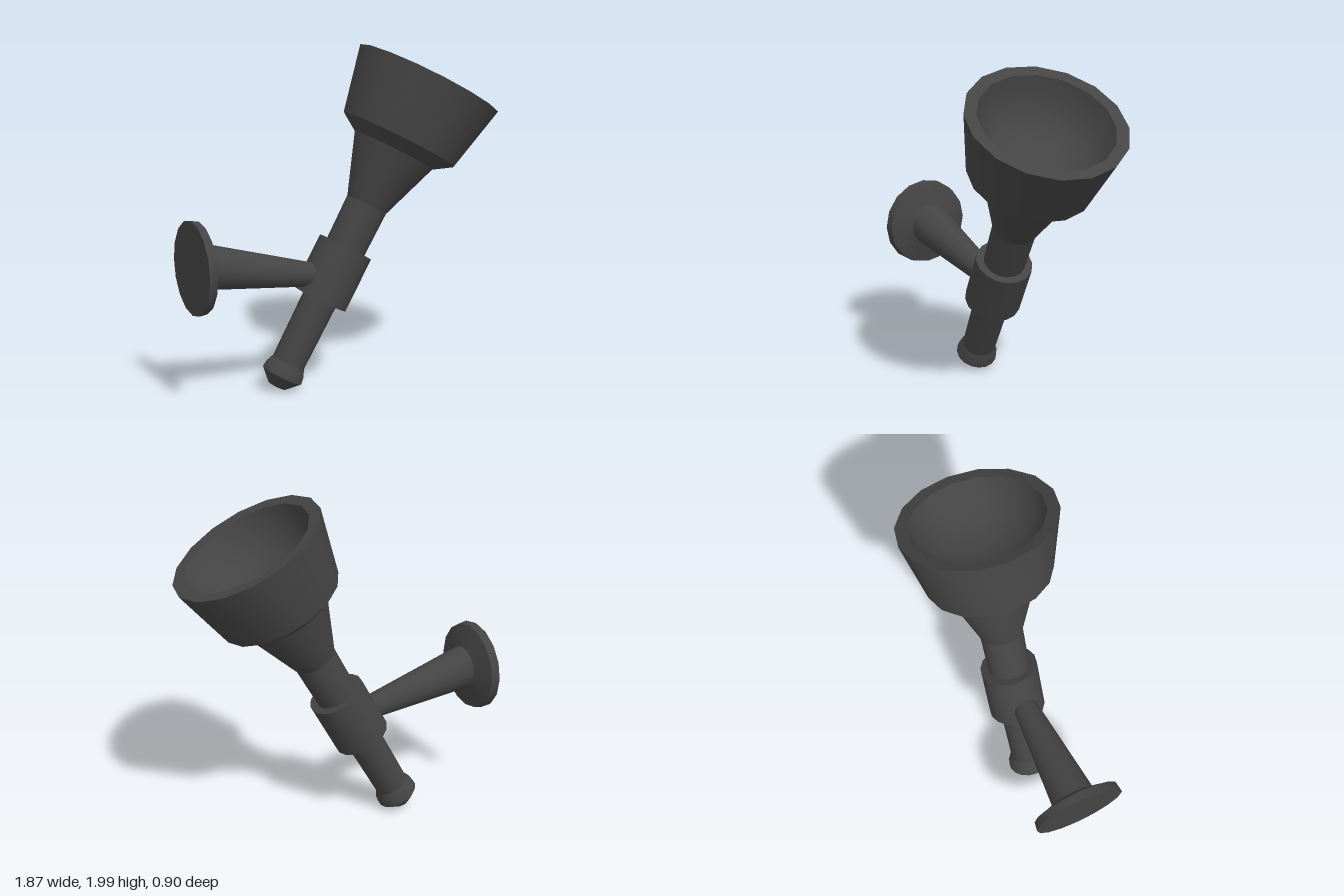
import * as THREE from 'three';
import { toCreasedNormals } from 'three/addons/utils/BufferGeometryUtils.js';

const SIDES = 16;
const material = new THREE.MeshStandardMaterial({ color: 0x444444 });

// Turned part from [radius, height] pairs, listed from the bottom up the outside
function turned(profile) {
  return new THREE.LatheGeometry(profile.map(([r, h]) => new THREE.Vector2(r, h)), SIDES);
}

function addPart(parent, name, geometry) {
  const mesh = new THREE.Mesh(toCreasedNormals(geometry, 0.6), material);
  mesh.name = name;
  parent.add(mesh);
}

export function createModel() {
  const model = new THREE.Group();
  model.name = 'wallTorch';

  // Leaning torch; its local origin is the middle of the collar
  const torch = new THREE.Group();
  torch.name = 'torch';
  torch.position.set(-0.06, 0.677, -0.078);
  torch.quaternion.setFromUnitVectors(
    new THREE.Vector3(0, 1, 0), new THREE.Vector3(0.474, 0.88, 0.058).normalize());
  model.add(torch);

  addPart(torch, 'endKnob', turned([
    [0, -0.738], [0.055, -0.735], [0.125, -0.665], [0.12, -0.625], [0.1, -0.58],
  ]));
  addPart(torch, 'shaft', turned([[0.1, -0.6], [0.107, -0.15], [0.122, 0.16], [0.127, 0.45]]));
  addPart(torch, 'collar', turned([[0.1, -0.168], [0.168, -0.168], [0.168, 0.168], [0.1, 0.168]]));

  // Flared neck, stepped cup and hollow inside
  addPart(torch, 'neck', turned([[0.127, 0.445], [0.255, 0.797]]));
  addPart(torch, 'cup', turned([
    [0.255, 0.797], [0.362, 0.866], [0.45, 1.257],
    [0.38, 1.253], [0.34, 1.14], [0.26, 1.04], [0.14, 0.98], [0, 0.96],
  ]));

  // Wall plate and tapering arm, turned along x, then bent down toward the collar
  const bracket = turned([
    [0, -0.94], [0.268, -0.94], [0.26, -0.89], [0.13, -0.85], [0.062, -0.1],
  ]);
  bracket.rotateZ(-Math.PI / 2);
  const pos = bracket.attributes.position;
  for (let i = 0; i < pos.count; i++) {
    const drop = 0.185 * Math.max(0, pos.getX(i) + 0.85);
    pos.setY(i, pos.getY(i) + 0.807 - drop);
    pos.setZ(i, pos.getZ(i) - 0.07);
  }
  addPart(model, 'wallBracket', bracket);

  return model;
}
